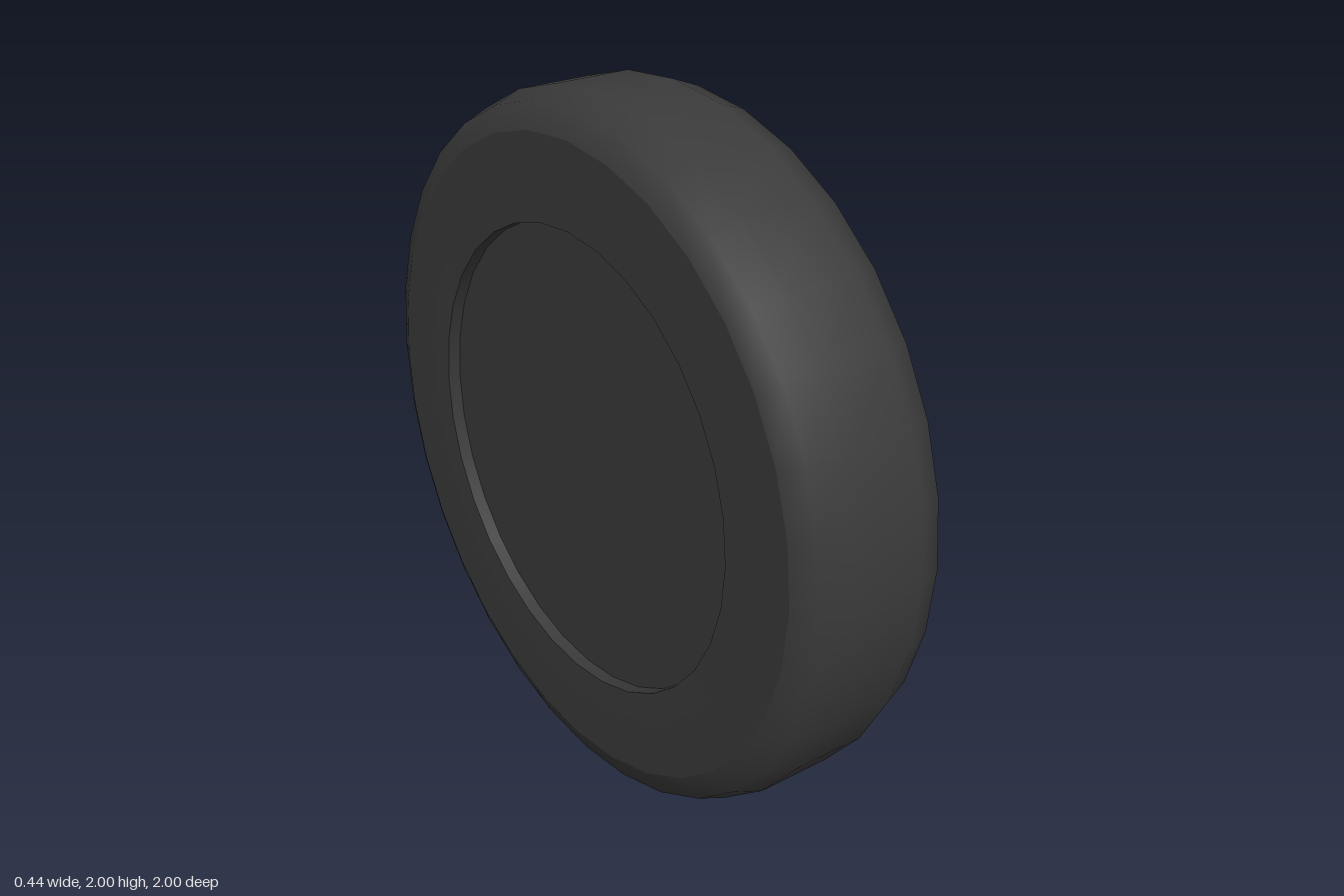
import * as THREE from 'three';

const SEGMENTS = 32;

export function createModel() {
  const rubber = new THREE.MeshStandardMaterial({ color: 0x3a3a3a });
  rubber.name = 'black rubber';
  const alloy = new THREE.MeshStandardMaterial({ color: 0xbcbdc1 });
  alloy.name = 'silver alloy';

  // The axle lies along x: axial positions in the profiles become x.
  const wheel = new THREE.Group();
  wheel.name = 'wheel';
  wheel.position.y = 1;

  const add = (name, geometry, material) => {
    const mesh = new THREE.Mesh(geometry, material);
    mesh.name = name;
    wheel.add(mesh);
  };
  // Surface of revolution from [radius, x] points, smooth along its profile
  const turned = (name, points, material) => {
    const profile = points.map(([r, x]) => new THREE.Vector2(r, x));
    add(name, new THREE.LatheGeometry(profile, SEGMENTS).rotateZ(-Math.PI / 2), material);
  };

  // Tyre: rounded tread and flat sidewalls
  turned('tread', [[0.9, -0.22], [0.97, -0.19], [1, -0.11], [1, 0.11], [0.97, 0.19], [0.9, 0.22]], rubber);
  turned('outerSidewall', [[0.9, 0.22], [0.74, 0.22]], rubber);
  turned('outerBead', [[0.74, 0.22], [0.66, 0.218]], rubber);
  turned('outerLip', [[0.66, 0.218], [0.66, 0.195]], rubber);
  turned('innerSidewall', [[0.74, -0.22], [0.9, -0.22]], rubber);
  turned('innerBead', [[0.66, -0.218], [0.74, -0.22]], rubber);
  turned('innerLip', [[0.66, -0.18], [0.66, -0.218]], rubber);

  // Closed discs on both sides
  turned('backPlate', [[0, -0.18], [0.66, -0.18]], rubber);
  turned('rimDisc', [[0.66, 0.195], [0, 0.195]], alloy);

  // Five raised spokes joined at the hub, as one star outline
  const star = [];
  for (let i = 0; i < 5; i++) {
    const a = Math.PI / 2 + (i * Math.PI * 2) / 5;
    for (const [along, side] of [[0.147, -0.066], [0.635, -0.066], [0.635, 0.066], [0.147, 0.066]]) {
      star.push(new THREE.Vector2(
        along * Math.cos(a) - side * Math.sin(a),
        along * Math.sin(a) + side * Math.cos(a),
      ));
    }
  }
  const spokes = new THREE.ExtrudeGeometry(new THREE.Shape(star), {
    depth: 0.004, bevelEnabled: true, bevelThickness: 0.006, bevelSize: 0.004, bevelSegments: 1,
  });
  add('spokes', spokes.rotateY(Math.PI / 2).translate(0.195, 0, 0), alloy);

  // Round hub cap
  const cap = new THREE.CylinderGeometry(0.077, 0.077, 0.03, SEGMENTS);
  add('hubCap', cap.rotateZ(-Math.PI / 2).translate(0.205, 0, 0), alloy);

  const model = new THREE.Group();
  model.name = 'roadWheel';
  model.add(wheel);
  return model;
}
